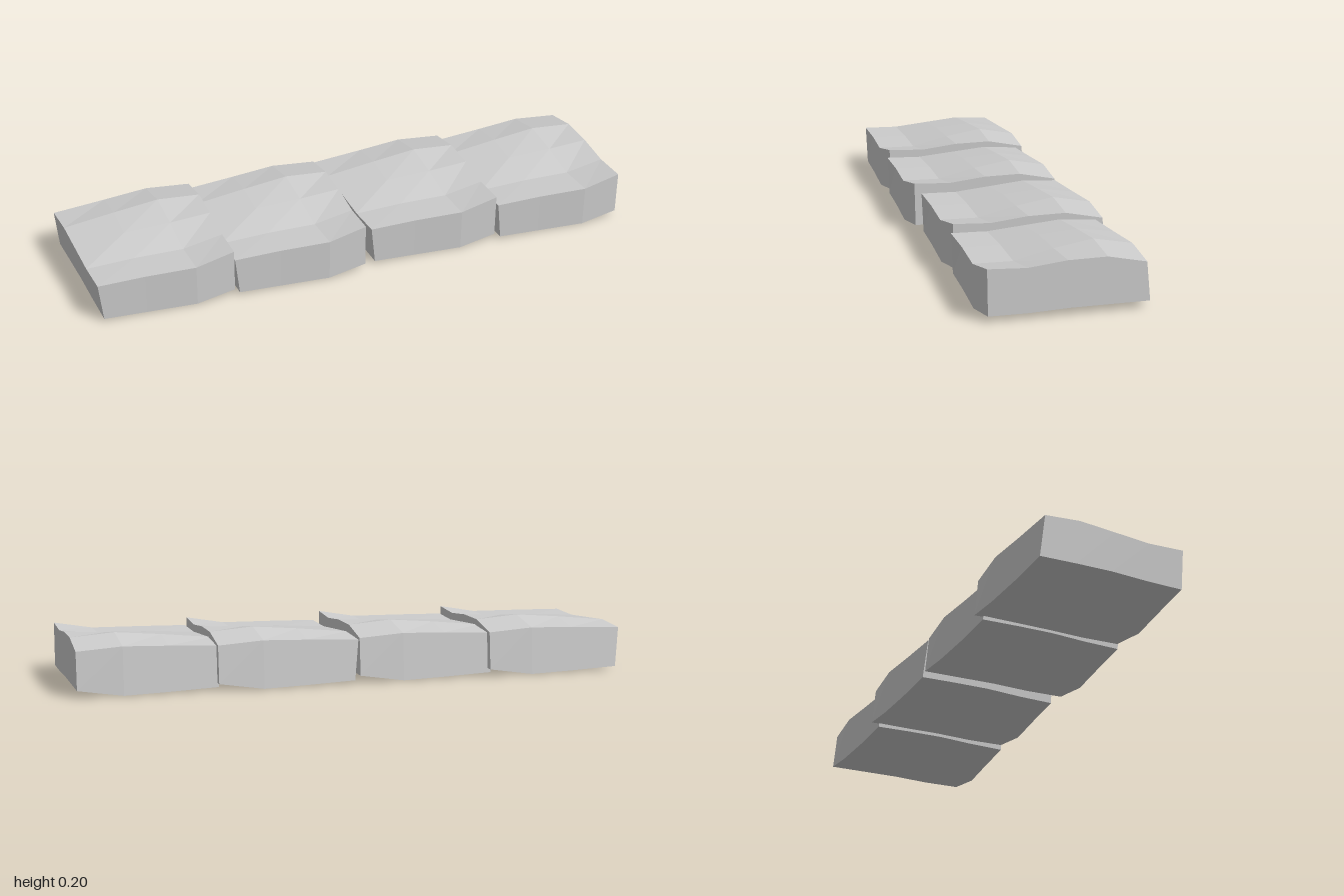
import * as THREE from 'three';

// Rows run from the left-hand edge (-x) to the right-hand edge; columns run back to front.
const TOP = [
  [0.155, 0.165, 0.155, 0.145, 0.15],
  [0.165, 0.185, 0.175, 0.15, 0.153],
  [0.172, 0.2, 0.18, 0.15, 0.154],
  [0.16, 0.188, 0.187, 0.173, 0.18],
];
const BOTTOM = [
  [0.012, 0.016, 0.018, 0.013, 0.012],
  [0.006, 0.01, 0.015, 0.006, 0.006],
  [0.003, 0.007, 0.013, 0.002, 0.003],
  [0.027, 0.027, 0.027, 0.022, 0.023],
];
const BACK_X = [-1, -0.81, -0.65, -0.49];
const FRONT_X = [-0.975, -0.81, -0.63, -0.49];
const BACK_Z = [-0.257, -0.265, -0.276, -0.27];
const FRONT_Z = [0.255, 0.259, 0.27, 0.26];

// A box of 3 x 1 x 4 segments bent into a worn stone slab
function slabGeometry() {
  const geometry = new THREE.BoxGeometry(3, 1, 4, 3, 1, 4);
  const p = geometry.attributes.position;
  for (let n = 0; n < p.count; n++) {
    const i = Math.round(p.getX(n) + 1.5);
    const k = Math.round(p.getZ(n) + 2);
    const isTop = p.getY(n) > 0;
    const t = k / 4;
    // the underside is set slightly back and in from the left edge
    const x = THREE.MathUtils.lerp(BACK_X[i], FRONT_X[i], t) + (!isTop && i === 0 ? 0.015 : 0);
    const z = THREE.MathUtils.lerp(BACK_Z[i], FRONT_Z[i], t) - (isTop ? 0 : 0.01 * (1 - t) + 0.003);
    p.setXYZ(n, x, (isTop ? TOP : BOTTOM)[i][k], z);
  }
  geometry.computeVertexNormals();
  return geometry;
}

export function createModel() {
  const group = new THREE.Group();
  group.name = 'stoneSlabRow';
  const geometry = slabGeometry();
  const material = new THREE.MeshStandardMaterial({ color: 0xcccccc, flatShading: true });

  // Four slabs side by side, every second one pushed forward
  [0, 0.485, 1, 1.49].forEach((x, i) => {
    const slab = new THREE.Mesh(geometry, material);
    slab.name = `stoneSlab${i + 1}`;
    slab.position.set(x, 0, i % 2 ? 0.014 : 0);
    group.add(slab);
  });
  return group;
}
